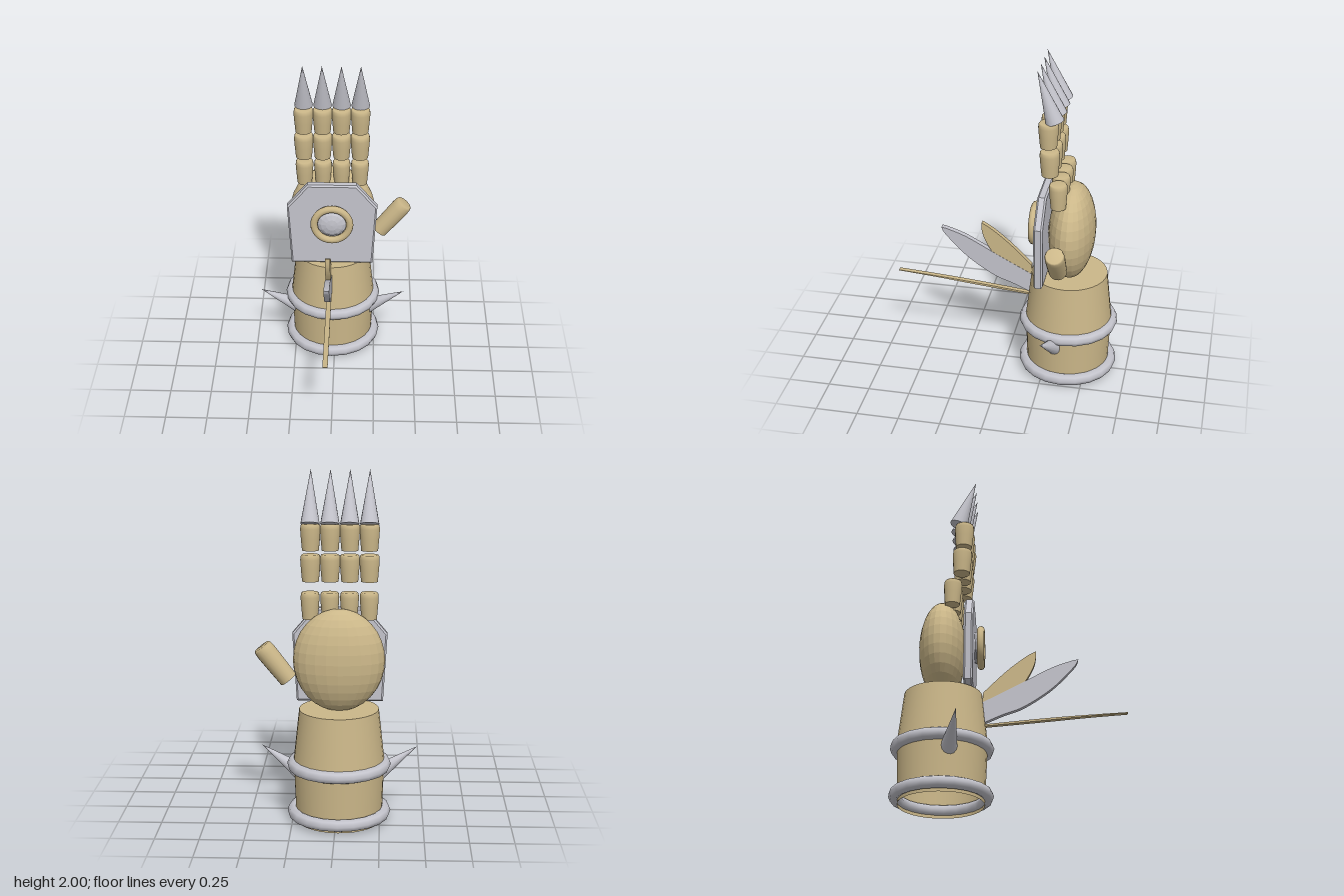
import * as THREE from 'three';

export function createModel() {
  const root = new THREE.Group();
  root.name = 'clawedGauntlet';
  const mat = (name, color, extra = {}) => {
    const m = new THREE.MeshStandardMaterial({ color, ...extra });
    m.name = name;
    return m;
  };
  const tan = mat('tan', 0xcbb789, { side: THREE.DoubleSide });
  const steel = mat('steel', 0xc4c4cc);
  const CX = -0.016, CZ = -0.383;

  const add = (name, geo, material, x = 0, y = 0, z = 0) => {
    const m = new THREE.Mesh(geo, material);
    m.name = name;
    m.position.set(x, y, z);
    root.add(m);
    return m;
  };
  // Turn a mesh modelled along +y so that it runs from a towards b
  const aim = (mesh, a, b) => {
    mesh.position.copy(a);
    mesh.quaternion.setFromUnitVectors(new THREE.Vector3(0, 1, 0), b.clone().sub(a).normalize());
  };
  const spike = (name, a, b, r) => {
    const len = a.distanceTo(b);
    aim(add(name, new THREE.ConeGeometry(r, len, 16).translate(0, len / 2, 0), steel), a, b);
  };
  const V = (x, y, z) => new THREE.Vector3(x, y, z);

  // Forearm cuff: open sleeve below, tapering sleeve with a closed top above
  add('lowerCuff', new THREE.CylinderGeometry(0.26, 0.247, 0.36, 32, 1, true), tan, CX, 0.18, CZ);
  add('upperCuff', new THREE.CylinderGeometry(0.227, 0.26, 0.3, 32, 1, true), tan, CX, 0.51, CZ);
  add('cuffTop', new THREE.CircleGeometry(0.227, 32).rotateX(-Math.PI / 2), tan, CX, 0.66, CZ);
  for (const y of [0.05, 0.333]) {
    add('cuffRing', new THREE.TorusGeometry(0.262, 0.036, 8, 20).rotateX(Math.PI / 2), steel, CX, y, CZ);
  }
  // Side spikes
  for (const s of [-1, 1]) {
    spike('sideSpike', V(CX + s * 0.21, 0.25, -0.335), V(CX + s * 0.45, 0.405, -0.282), 0.053);
  }

  // Palm
  const facetedTan = tan.clone();
  facetedTan.flatShading = true;
  facetedTan.name = 'tanFaceted';
  add('palm', new THREE.SphereGeometry(1, 24, 16).scale(0.26, 0.295, 0.138), facetedTan, CX, 0.945, -0.393);

  // Back-of-hand plate with clipped corners and a bevelled rim
  const plate = new THREE.Shape([
    [-0.24, -0.265], [0.24, -0.265], [0.263, 0.122], [0.142, 0.265], [-0.142, 0.265], [-0.263, 0.122],
  ].map(([x, y]) => new THREE.Vector2(x, y)));
  add('handPlate', new THREE.ExtrudeGeometry(plate, {
    depth: 0.034, bevelEnabled: true, bevelThickness: 0.01, bevelSize: 0.01, bevelSegments: 1,
  }), steel, CX, 0.94, -0.248);

  // Round boss on the plate
  const facetedSteel = steel.clone();
  facetedSteel.flatShading = true;
  facetedSteel.name = 'steelFaceted';
  add('bossRing', new THREE.TorusGeometry(0.108, 0.022, 10, 32), tan, CX, 0.967, -0.167);
  add('bossGem', new THREE.SphereGeometry(1, 12, 8).rotateX(Math.PI / 2).scale(0.095, 0.095, 0.042), facetedSteel, CX, 0.967, -0.195);

  // Finger segment: tapered barrel with a softened top
  const segment = (len, r0, r1) => new THREE.LatheGeometry([
    [0, 0], [r0, 0], [r0, 0], [r0 + (r1 - r0) * 0.6, len * 0.45], [r1, len * 0.82],
    [r1 * 0.95, len * 0.95], [r1 * 0.85, len], [0, len],
  ].map(([x, y]) => new THREE.Vector2(x, y)), 18);
  const rows = [[1.17, 0.152, -0.331, 0.054], [1.375, 0.152, -0.279, 0.058], [1.55, 0.15, -0.269, 0.058]];
  for (let i = 0; i < 4; i++) {
    const x = -0.184 + i * 0.111;
    for (const [y, len, z, r] of rows) {
      add('fingerSegment', segment(len, r - 0.01, r), tan, x, y, z).rotation.x = 0.02;
    }
    spike('claw', V(x, 1.705, -0.302), V(x, 2, -0.2), 0.054);
  }

  // Thumb
  const thumbBase = V(0.272, 0.82, -0.355), thumbTip = V(0.422, 1.01, -0.355);
  aim(add('thumb', segment(0.245, 0.053, 0.058), tan), thumbBase, thumbTip);

  // Fan of blades in front of the cuff, outlined as (z, y)
  const blade = (name, upper, lower, width, material) => {
    const v = (p) => new THREE.Vector2(p[0], p[1]);
    const s = new THREE.Shape();
    s.moveTo(...upper[0]);
    s.splineThru(upper.slice(1).map(v));
    s.lineTo(...lower[0]);
    s.splineThru(lower.slice(1).map(v));
    const g = new THREE.ExtrudeGeometry(s, { depth: width, bevelEnabled: false, curveSegments: 6 });
    g.translate(0, 0, -width / 2).rotateY(-Math.PI / 2);
    add(name, g, material, -0.032, 0, 0);
  };
  blade('upperBlade', [[0.155, 0.93], [0.09, 0.89], [-0.02, 0.8], [-0.15, 0.67]],
    [[-0.16, 0.56], [-0.05, 0.62], [0.06, 0.7], [0.12, 0.785], [0.152, 0.865], [0.155, 0.93]], 0.03, tan);
  blade('middleBlade', [[0.403, 0.875], [0.36, 0.865], [0.24, 0.82], [0.03, 0.705], [-0.16, 0.605]],
    [[-0.16, 0.475], [-0.04, 0.53], [0.085, 0.58], [0.245, 0.69], [0.375, 0.825], [0.403, 0.875]], 0.033, steel);
  blade('lowerBlade', [[0.68, 0.542], [0.45, 0.527], [0.2, 0.507], [-0.14, 0.473]],
    [[-0.14, 0.462], [0.2, 0.494], [0.45, 0.519], [0.68, 0.538]], 0.03, tan);

  return root;
}
